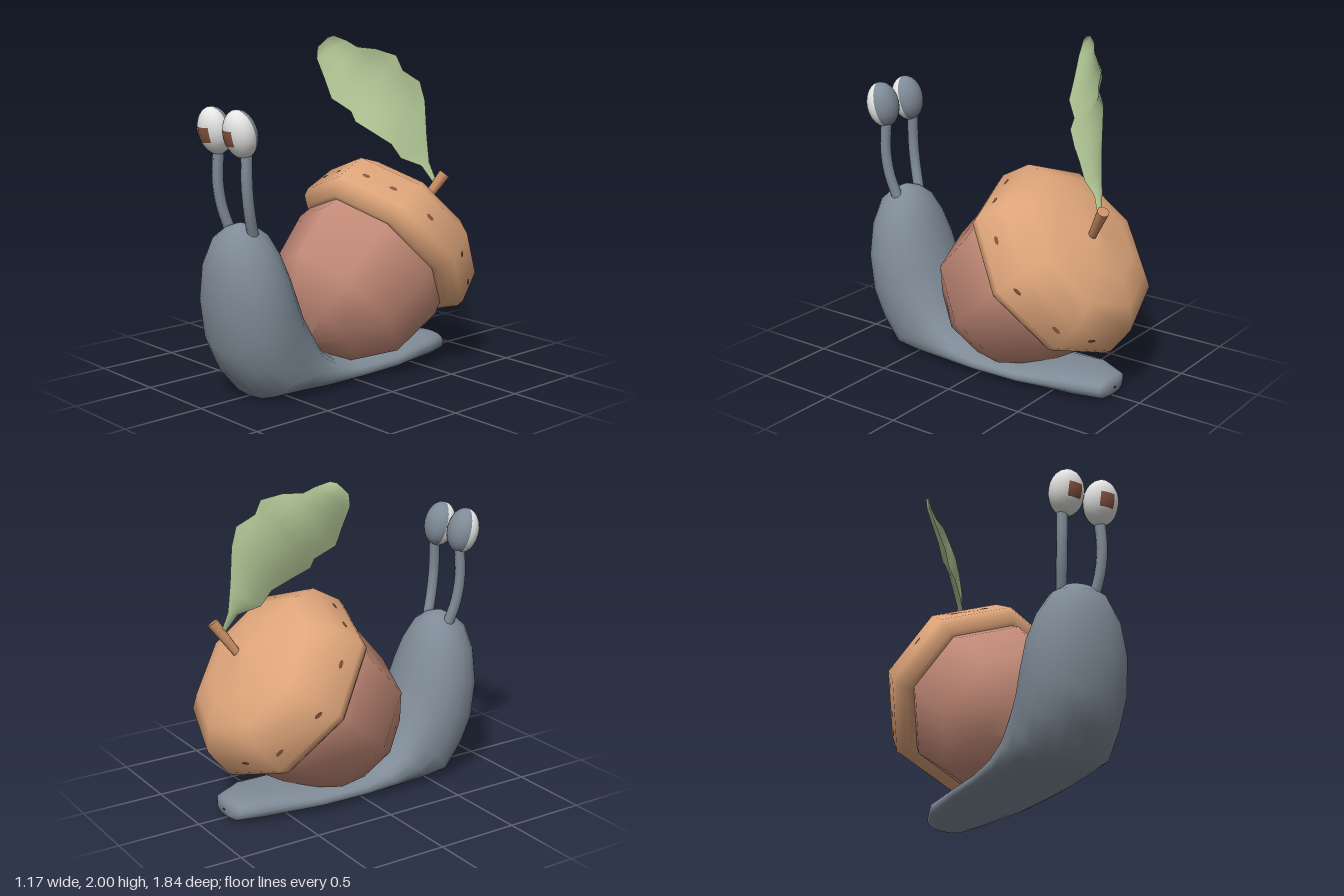
import * as THREE from 'three';

const material = (name, color, side = THREE.FrontSide) => {
  const m = new THREE.MeshStandardMaterial({ color, side });
  m.name = name;
  return m;
};

// Smooth surface through rows of points; closed rows wrap around
function loft(rows, closed) {
  const n = rows[0].length, cols = closed ? n : n - 1, index = [];
  for (let i = 0; i < rows.length - 1; i++) {
    for (let j = 0; j < cols; j++) {
      const a = i * n + j, b = i * n + (j + 1) % n;
      index.push(a, b, a + n, b, b + n, a + n);
    }
  }
  const g = new THREE.BufferGeometry();
  g.setAttribute('position', new THREE.Float32BufferAttribute(rows.flat(2), 3));
  g.setIndex(index);
  g.computeVertexNormals();
  return g;
}

export function createModel() {
  const model = new THREE.Group();
  model.name = 'acornSnail';
  const skin = material('slateSkin', 0x7f8b97);
  const capMat = material('tanCap', 0xdea57a, THREE.DoubleSide);
  const nutMat = material('rosyNut', 0xc48b78);
  const leafMat = material('leafGreen', 0xb1c695, THREE.DoubleSide);
  const white = material('eyeWhite', 0xe6e6e4);
  const brown = material('pupilBrown', 0x855440, THREE.DoubleSide);
  const stemMat = material('stemBrown', 0xcc8f64);

  const add = (parent, name, geometry, mat) => {
    const m = new THREE.Mesh(geometry, mat);
    m.name = name;
    parent.add(m);
    return m;
  };

  // Body: sections from tail to head [outer z, outer y, inner z, inner y, half width]
  const sections = [
    [-0.835, 0.05, -0.835, 0.06, 0.01],
    [-0.835, 0.02, -0.835, 0.10, 0.08],
    [-0.81, 0, -0.81, 0.118, 0.135],
    [-0.65, 0, -0.65, 0.145, 0.20],
    [-0.3, 0, -0.3, 0.115, 0.25],
    [0, 0, 0, 0.12, 0.262],
    [0.25, 0, 0.15, 0.16, 0.268],
    [0.5, 0, 0.25, 0.25, 0.275],
    [0.66, 0, 0.32, 0.38, 0.285],
    [0.80, 0.15, 0.36, 0.48, 0.297],
    [0.875, 0.32, 0.4, 0.58, 0.303],
    [0.91, 0.56, 0.45, 0.71, 0.29],
    [0.905, 0.77, 0.50, 0.84, 0.24],
    [0.86, 0.92, 0.56, 0.95, 0.165],
    [0.79, 0.985, 0.63, 1.0, 0.09],
    [0.715, 1.02, 0.705, 1.02, 0.005],
  ];
  const bodyRows = sections.map(([oz, oy, iz, iy, w]) => {
    const exponent = oy < 0.1 ? 0.8 : 0.95; // squarer foot, rounder neck
    const power = (v) => Math.sign(v) * Math.abs(v) ** exponent;
    return Array.from({ length: 20 }, (_, j) => {
      const a = (j / 20) * Math.PI * 2, c = power(Math.cos(a)), s = power(Math.sin(a));
      return [w * c, (oy + iy) / 2 + (iy - oy) / 2 * s, (oz + iz) / 2 + (iz - oz) / 2 * s];
    });
  });
  add(model, 'body', loft(bodyRows, true), skin);

  // Tilted acorn shell: eight-sided nut and cap, slightly narrow
  const shell = new THREE.Group();
  shell.name = 'acornShell';
  shell.position.set(0, 0.231, 0.192);
  shell.rotation.x = -0.879;
  shell.scale.x = 0.97;
  model.add(shell);
  const lathe = (pts) => new THREE.LatheGeometry(pts.map((p) => new THREE.Vector2(...p)), 8);
  const nut = add(shell, 'nut',
    lathe([[0, -0.03], [0.285, 0.066], [0.463, 0.275], [0.518, 0.61], [0.49, 0.73]]), nutMat);
  nut.position.z = 0.013;
  add(shell, 'cap', lathe([[0.45, 0.70], [0.5, 0.688], [0.54, 0.695], [0.59, 0.74], [0.601, 0.79],
    [0.56, 0.99], [0.44, 1.075], [0.28, 1.137], [0, 1.168]]), capMat);

  // Dark flecks lying on the cap's facets
  const eighth = Math.PI / 4, apothem = 0.583 * Math.cos(eighth / 2);
  for (const degrees of [13, 34, 63, 96, 128, 156]) {
    for (const s of [1, -1]) {
      const angle = s * degrees * Math.PI / 180;
      const facet = (Math.floor(angle / eighth) + 0.5) * eighth;
      const holder = new THREE.Group();
      holder.name = 'capFleck';
      holder.rotation.y = facet;
      shell.add(holder);
      const fleck = add(holder, 'fleck', new THREE.CircleGeometry(0.03, 6), brown);
      fleck.position.set(apothem * Math.tan(angle - facet), 0.88, apothem + 0.005);
      fleck.rotation.x = -0.19;
      fleck.scale.y = 0.45;
    }
  }

  // Stem, aimed from base to tip
  const base = new THREE.Vector3(0.05, 0.95, -0.68), tip = new THREE.Vector3(0.13, 1.15, -0.805);
  const dir = tip.clone().sub(base);
  const stem = add(model, 'stem', new THREE.CylinderGeometry(0.036, 0.024, dir.length(), 8), stemMat);
  stem.position.copy(base).add(tip).multiplyScalar(0.5);
  stem.quaternion.setFromUnitVectors(new THREE.Vector3(0, 1, 0), dir.normalize());

  // Leaf: ribs from stalk to tip [upper edge x, y, z, lower edge x, y, z]
  const ribs = [
    [0.10, 1.09, -0.77, 0.09, 1.09, -0.75],
    [0.05, 1.22, -0.748, 0.04, 1.20, -0.69],
    [0.04, 1.38, -0.735, -0.03, 1.25, -0.58],
    [0.03, 1.60, -0.725, -0.06, 1.34, -0.525],
    [0.0, 1.72, -0.71, -0.13, 1.41, -0.44],
    [-0.07, 1.79, -0.63, -0.21, 1.48, -0.36],
    [-0.12, 1.88, -0.62, -0.25, 1.54, -0.36],
    [-0.21, 1.92, -0.53, -0.33, 1.62, -0.27],
    [-0.30, 1.93, -0.46, -0.39, 1.74, -0.265],
    [-0.36, 1.97, -0.42, -0.45, 1.86, -0.255],
    [-0.41, 2.0, -0.36, -0.46, 1.93, -0.27],
    [-0.42, 1.99, -0.32, -0.43, 1.97, -0.30],
  ];
  const leafRows = ribs.map(([ux, uy, uz, lx, ly, lz]) => {
    const width = Math.hypot(ux - lx, uy - ly, uz - lz);
    return Array.from({ length: 7 }, (_, j) => {
      const t = j / 6, cup = 0.5 * width * t * (1 - t);
      return [ux + (lx - ux) * t - 0.66 * cup, uy + (ly - uy) * t, uz + (lz - uz) * t - 0.75 * cup];
    });
  });
  add(model, 'leaf', loft(leafRows, false), leafMat);

  // Eyes on stalks, mirrored
  for (const s of [1, -1]) {
    const side = s > 0 ? 'left' : 'right';
    const path = new THREE.CatmullRomCurve3([[0.105, 0.96, 0.70], [0.125, 1.10, 0.74],
      [0.132, 1.25, 0.76], [0.125, 1.44, 0.755]].map(([x, y, z]) => new THREE.Vector3(s * x, y, z)));
    add(model, side + 'EyeStalk', new THREE.TubeGeometry(path, 10, 0.033, 8), skin);

    const eye = new THREE.Group();
    eye.name = side + 'Eye';
    eye.position.set(s * 0.115, 1.533, 0.787);
    eye.rotation.x = 0.25;
    eye.scale.set(0.107, 0.138, 0.09);
    model.add(eye);
    add(eye, 'eyeFront', new THREE.SphereGeometry(1, 12, 12, -0.25, Math.PI + 0.5), white);
    add(eye, 'eyeBack', new THREE.SphereGeometry(1, 10, 12, Math.PI + 0.25, Math.PI - 0.5), skin);
    add(eye, 'pupil', new THREE.SphereGeometry(1.02, 5, 5,
      Math.PI / 2 - 0.42 - s * 0.08, 0.84, Math.PI / 2 - 0.32, 0.64), brown);
  }
  return model;
}
